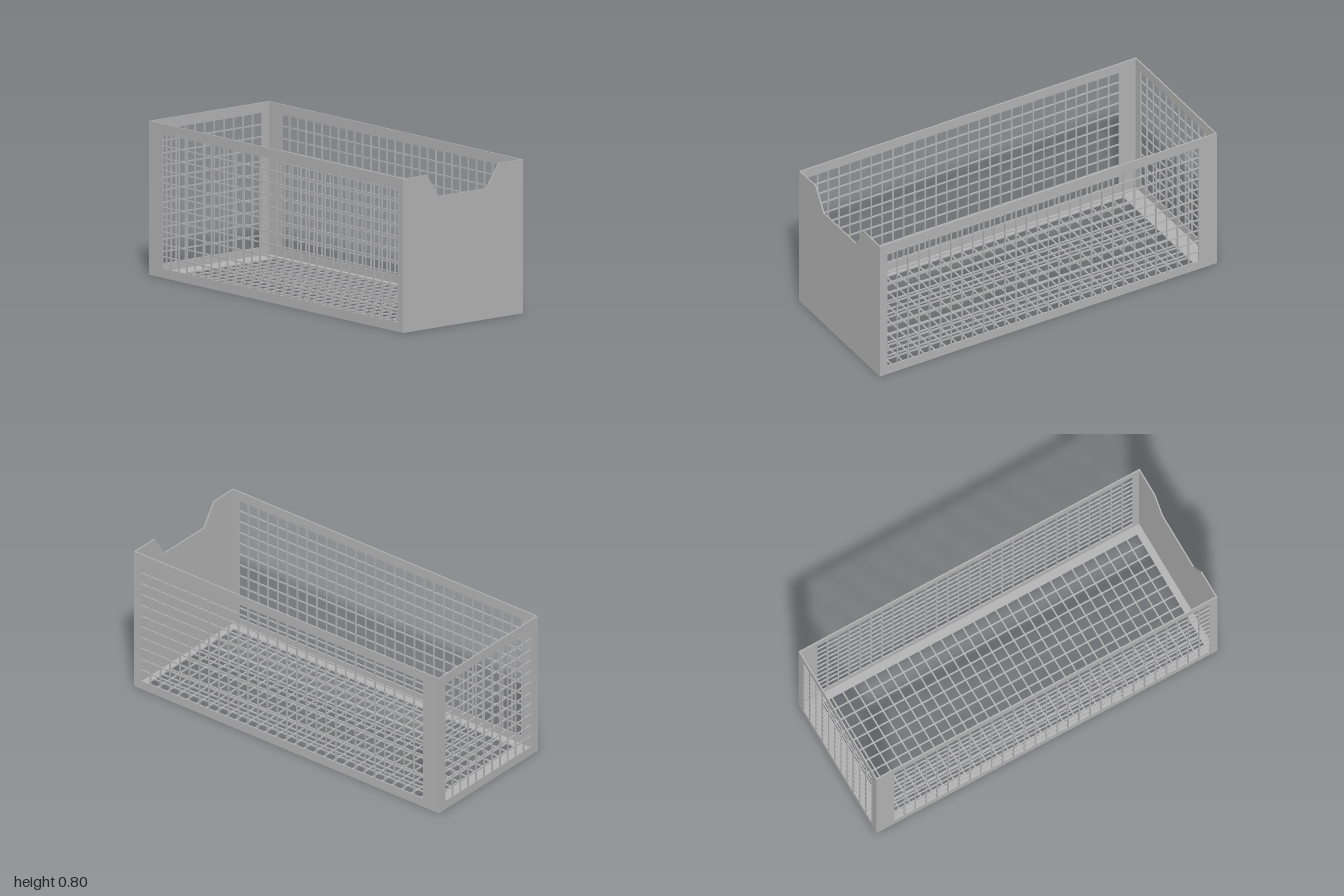
import * as THREE from 'three';
import { mergeGeometries } from 'three/addons/utils/BufferGeometryUtils.js';

const T = 0.007;      // sheet thickness
const PITCH = 0.064;  // mesh spacing
const BAR = 0.007;    // mesh bar width

const polygon = pts => pts.map(([x, y]) => new THREE.Vector2(x, y));
const rectangle = (x0, y0, x1, y1) => polygon([[x0, y0], [x1, y0], [x1, y1], [x0, y1]]);
const extrude = shape => new THREE.ExtrudeGeometry(shape, { depth: T, bevelEnabled: false });

// Flat border with one large opening, extruded along +z
function frameGeometry(outer, inner) {
  const shape = new THREE.Shape(rectangle(...outer));
  shape.holes.push(new THREE.Path(rectangle(...inner).reverse()));
  return extrude(shape);
}

// Crossing bars that split the opening into cols x rows square holes
function gridGeometry([x0, y0, x1, y1], cols, rows) {
  const bars = [];
  for (let i = 1; i < cols; i++) {
    bars.push(new THREE.BoxGeometry(BAR, y1 - y0, T)
      .translate(x0 + i * PITCH - BAR / 2, (y0 + y1) / 2, T / 2));
  }
  for (let j = 1; j < rows; j++) {
    bars.push(new THREE.BoxGeometry(x1 - x0, BAR, T * 0.96)
      .translate((x0 + x1) / 2, y0 + j * PITCH - BAR / 2, T / 2));
  }
  return mergeGeometries(bars);
}

export function createModel() {
  const model = new THREE.Group();
  model.name = 'meshBasket';
  const metal = new THREE.MeshStandardMaterial({ color: 0xb4b4b4 });
  metal.name = 'greyMetal';

  function add(parent, name, geometry) {
    const mesh = new THREE.Mesh(geometry, metal);
    mesh.name = name;
    parent.add(mesh);
    return mesh;
  }

  // Perforated panel: border plus bars, opening starts at (hx, hy)
  function meshPanel(name, outer, hx, hy, cols, rows) {
    const inner = [hx, hy, hx + cols * PITCH - BAR, hy + rows * PITCH - BAR];
    const panel = new THREE.Group();
    panel.name = name;
    add(panel, name + 'Frame', frameGeometry(outer, inner));
    add(panel, name + 'Grid', gridGeometry(inner, cols, rows));
    model.add(panel);
    return panel;
  }

  // Long side walls
  for (const [name, x] of [['rightWall', -0.4], ['leftWall', 0.4 - T]]) {
    const wall = meshPanel(name, [-1, 0, 1, 0.8], -0.955, 0.049, 29, 11);
    wall.rotation.y = Math.PI / 2;
    wall.position.x = x;
  }

  // Back wall
  meshPanel('backWall', [-0.4, 0, 0.4, 0.8], -0.349, 0.049, 11, 11).position.z = -1;

  // Floor
  meshPanel('floor', [-0.4, -1, 0.4, 1], -0.349, -0.955, 11, 29).rotation.x = -Math.PI / 2;

  // Solid front plate with a grip notch in its top edge
  const front = new THREE.Shape(polygon([
    [-0.4, 0], [0.4, 0], [0.4, 0.8], [0.24, 0.8],
    [0.16, 0.68], [-0.16, 0.68], [-0.24, 0.8], [-0.4, 0.8],
  ]));
  add(model, 'frontPlate', extrude(front)).position.z = 1 - T;

  return model;
}
